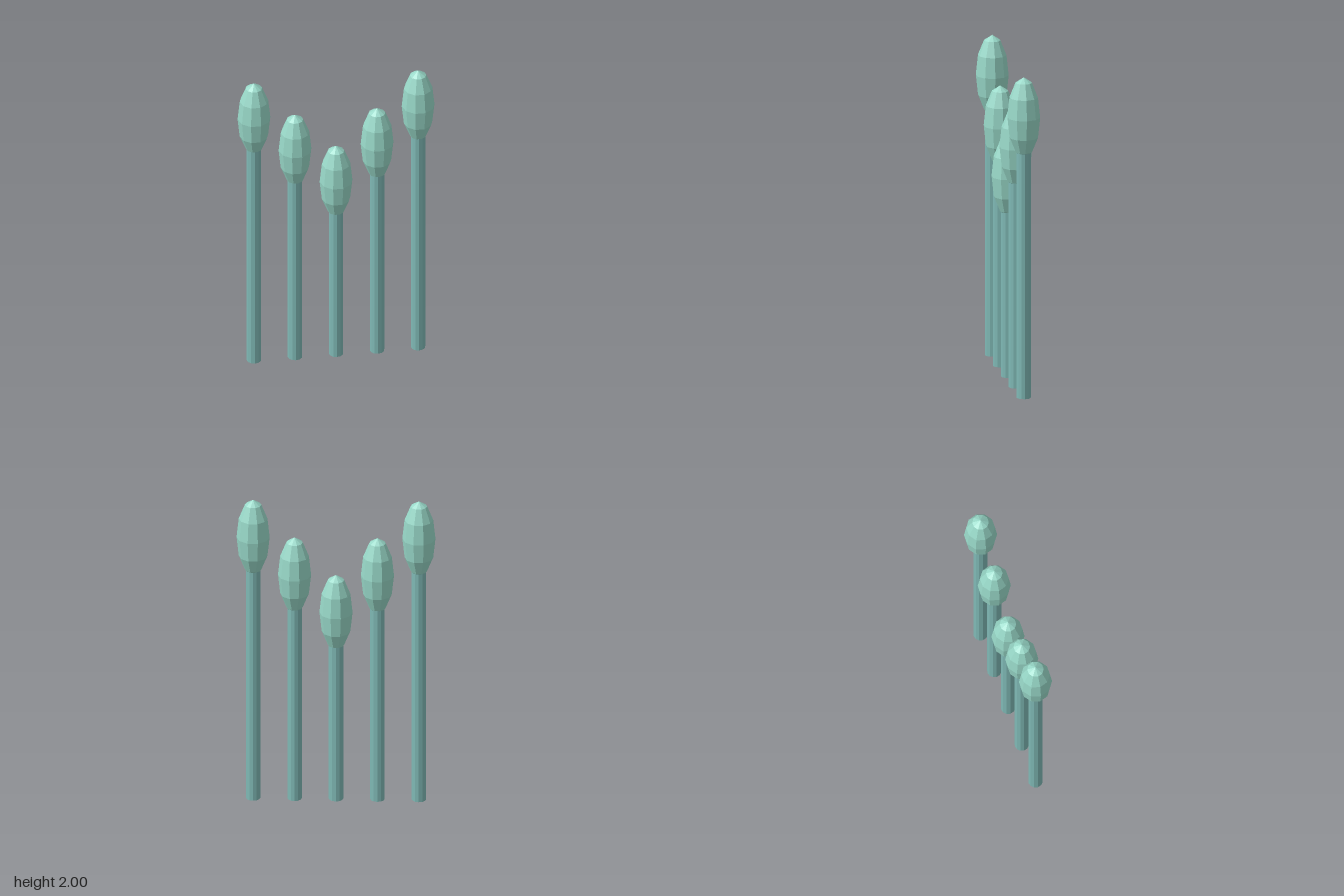
import * as THREE from 'three';

const mint = new THREE.MeshStandardMaterial({ color: 0x98d8c8, flatShading: true });
mint.name = 'mint';
const teal = new THREE.MeshStandardMaterial({ color: 0x7fb9b5, flatShading: true });
teal.name = 'teal';

const HEAD_HALF = 0.25;

// One stalk with an elongated bud on top, standing on y = 0
function makeStem(height) {
  const stem = new THREE.Group();
  const headY = height - HEAD_HALF;

  const stalkHeight = headY - 0.215;
  const stalk = new THREE.Mesh(new THREE.CylinderGeometry(0.044, 0.044, stalkHeight, 12), teal);
  stalk.name = 'stalk';
  stalk.position.y = stalkHeight / 2;

  const headGeometry = new THREE.SphereGeometry(0.1, 10, 6);
  headGeometry.scale(1, HEAD_HALF / 0.1, 1);
  const head = new THREE.Mesh(headGeometry, mint);
  head.name = 'head';
  head.position.y = headY;

  stem.add(stalk, head);
  return stem;
}

export function createModel() {
  const model = new THREE.Group();
  model.name = 'stemRow';
  // Five stems in a row, rising from the middle to both ends
  for (let i = -2; i <= 2; i++) {
    const stem = makeStem(1.5 + 0.25 * Math.abs(i));
    stem.name = 'stem' + (i + 3);
    stem.position.x = i * 0.25;
    model.add(stem);
  }
  return model;
}
